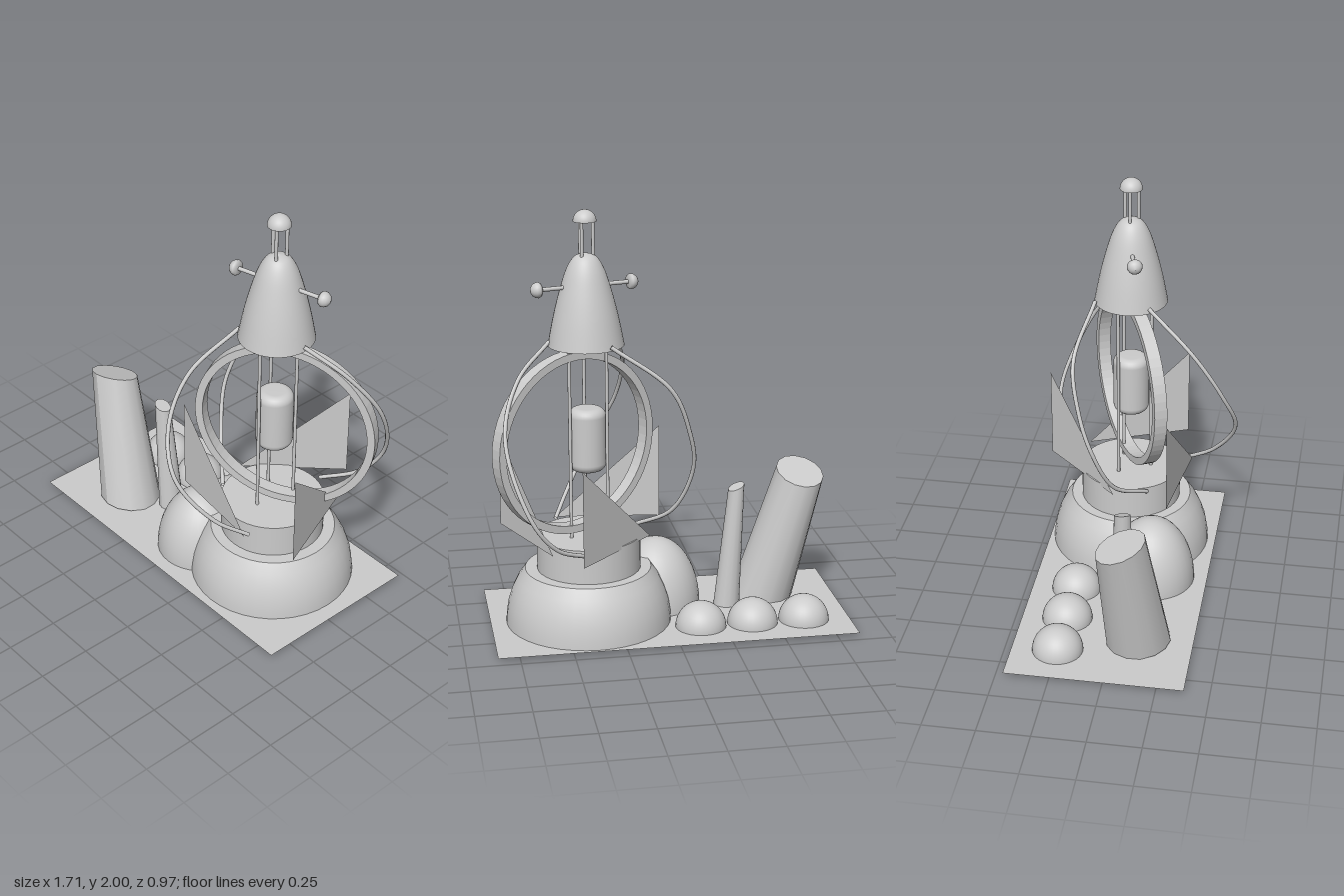
import * as THREE from 'three';

const grey = new THREE.MeshStandardMaterial({ color: 0xcccccc });
const greyDouble = new THREE.MeshStandardMaterial({ color: 0xcccccc, side: THREE.DoubleSide });
const V = (x, y, z) => new THREE.Vector3(x, y, z);
const CX = 0.378, CZ = -0.055, GROUND = 0.018;

export function createModel() {
  const model = new THREE.Group();

  const add = (name, geometry, x = 0, y = 0, z = 0, material = grey, parent = model) => {
    const mesh = new THREE.Mesh(geometry, material);
    mesh.name = name;
    mesh.position.set(x, y, z);
    parent.add(mesh);
    return mesh;
  };
  const lathe = (points, segments = 40) =>
    new THREE.LatheGeometry(points.map(([r, y]) => new THREE.Vector2(r, y)), segments);
  const halfSphere = (r) => new THREE.SphereGeometry(r, 32, 12, 0, Math.PI * 2, 0, Math.PI / 2);
  const rod = (name, r, y0, y1, x, z) =>
    add(name, new THREE.CylinderGeometry(r, r, y1 - y0, 10), x, (y0 + y1) / 2, z);

  // Ground sheet
  const ground = add('ground', new THREE.PlaneGeometry(1.705, 0.845), 0, GROUND, -0.042, greyDouble);
  ground.rotation.x = -Math.PI / 2;

  // Main mound with a flat top, and the drum standing on it
  add('baseMound', lathe([[0.395, GROUND], [0.392, 0.06], [0.382, 0.12], [0.362, 0.18], [0.335, 0.235], [0.3, 0.285]]),
    CX + 0.004, 0, CZ, greyDouble);
  const moundTop = add('moundTop', new THREE.CircleGeometry(0.3, 40), CX + 0.004, 0.285, CZ);
  moundTop.rotation.x = -Math.PI / 2;
  add('drum', new THREE.CylinderGeometry(0.247, 0.247, 0.165, 40), CX, 0.3675, CZ);

  // Side mound and the row of small mounds
  add('sideMound', halfSphere(0.215), 0.03, GROUND, 0.1, greyDouble).scale.y = 0.33 / 0.215;
  for (const x of [-0.632, -0.381, -0.13]) add('smallMound', halfSphere(0.121), x, GROUND, -0.247, greyDouble);

  // Leaning posts with slanted tops: a cylinder whose ends are moved and tilted
  const leaningPost = (name, bottom, top) => {
    const g = new THREE.CylinderGeometry(1, 1, 1, 14, 1);
    const p = g.attributes.position;
    for (let i = 0; i < p.count; i++) {
      const e = p.getY(i) > 0 ? top : bottom;
      const dx = p.getX(i) * e.r, dz = p.getZ(i) * e.r;
      p.setXYZ(i, e.at[0] + dx, e.at[1] + dx * e.slope[0] + dz * e.slope[1], e.at[2] + dz);
    }
    g.computeVertexNormals();
    add(name, g);
  };
  leaningPost('largePost',
    { at: [-0.503, 0.016, 0.118], r: 0.154, slope: [0, 0.1] },
    { at: [-0.677, 0.66, 0.06], r: 0.115, slope: [0.13, 0.38] });
  leaningPost('smallPost',
    { at: [-0.307, 0.018, 0.01], r: 0.063, slope: [0, 0] },
    { at: [-0.352, 0.615, 0.018], r: 0.039, slope: [-0.4, 0.1] });

  // Thin upright rods around the core
  for (let i = 0; i < 3; i++) {
    const a = Math.PI / 2 + i * Math.PI * 2 / 3;
    rod('cageRod', 0.008, 0.44, 1.352, CX + 0.1 * Math.cos(a), CZ + 0.1 * Math.sin(a));
    const b = Math.PI + i * Math.PI * 2 / 3;
    rod('finialRod', 0.008, 1.76, 1.95, CX + 0.037 * Math.cos(b), CZ + 0.037 * Math.sin(b));
  }

  // Rounded core
  const coreProfile = [[0, -0.153]];
  for (const end of [-1, 1])
    for (let i = 0; i <= 6; i++) {
      const a = (end < 0 ? i - 6 : i) * Math.PI / 12;
      coreProfile.push([0.048 + 0.04 * Math.cos(a), end * 0.113 + 0.04 * Math.sin(a)]);
    }
  coreProfile.push([0, 0.153]);
  add('core', lathe(coreProfile, 32), CX, 0.918, CZ);

  // Bell, closed underneath
  const bellCurve = new THREE.SplineCurve([[0.177, 1.372], [0.152, 1.5], [0.122, 1.62], [0.088, 1.725], [0.05, 1.785], [0, 1.802]]
    .map(([r, y]) => new THREE.Vector2(r, y)));
  add('bell', new THREE.LatheGeometry(bellCurve.getPoints(24), 40), CX, 0, CZ);
  const bellFloor = add('bellFloor', new THREE.CircleGeometry(0.177, 40), CX, 1.372, CZ);
  bellFloor.rotation.x = Math.PI / 2;

  // Finial cap
  add('finialCap', halfSphere(0.054), CX, 1.946, CZ);
  const capFloor = add('capFloor', new THREE.CircleGeometry(0.054, 32), CX, 1.946, CZ);
  capFloor.rotation.x = Math.PI / 2;

  // Cross arm with a mushroom knob at each end
  const arm = new THREE.Group();
  arm.name = 'crossArm';
  arm.position.set(CX + 0.004, 1.65, CZ - 0.006);
  arm.rotation.y = 0.25;
  model.add(arm);
  add('armRod', new THREE.CylinderGeometry(0.01, 0.01, 0.46, 10), 0, 0, 0, grey, arm).rotation.z = Math.PI / 2;
  for (const s of [-1, 1]) {
    const knob = add('armKnob', lathe([[0, -0.012], [0.03, -0.012], [0.037, 0], [0.034, 0.014], [0.026, 0.026], [0.014, 0.034], [0, 0.037]], 24),
      s * 0.226, 0, 0, grey, arm);
    knob.rotation.z = -s * Math.PI / 2;
  }

  // Flat upright hoop
  const hoopShape = new THREE.Shape().absarc(0, 0, 0.437, 0, Math.PI * 2);
  hoopShape.holes.push(new THREE.Path().absarc(0, 0, 0.4, 0, Math.PI * 2, true));
  const hoopGeometry = new THREE.ExtrudeGeometry(hoopShape, { depth: 0.064, bevelEnabled: false, curveSegments: 32 });
  hoopGeometry.translate(0, 0, -0.032);
  add('hoop', hoopGeometry, 0.44, 0.91, -0.068).rotation.y = 0.495;

  // Triangular fins: upright outer edge, tapering to a point near the drum
  const fins = [
    [[0, 0.175], [0.5, 0.24]],
    [[0.775, 0.185], [0.575, -0.3]],
    [[0.455, -0.475], [0.09, -0.1]],
  ];
  for (const [[ox, oz], [ix, iz]] of fins) {
    const g = new THREE.BufferGeometry().setFromPoints([V(ox, 0.435, oz), V(ix, 0.435, iz), V(ox, 0.893, oz)]);
    g.computeVertexNormals();
    add('fin', g, 0, 0, 0, greyDouble);
  }

  // Bowed wires from the bell rim down to the drum
  const wires = [
    [V(0.245, 1.395, 0.05), V(0.16, 1.2, 0.28), V(0.18, 0.98, 0.42), V(0.285, 0.77, 0.475), V(0.42, 0.55, 0.36), V(0.505, 0.435, 0.215)],
    [V(0.285, 1.395, -0.215), V(0.02, 1.2, -0.275), V(-0.075, 0.98, -0.235), V(-0.105, 0.785, -0.17), V(-0.02, 0.55, -0.075), V(0.148, 0.435, 0.06)],
    [V(0.55, 1.395, -0.06), V(0.71, 1.25, -0.19), V(0.785, 1.02, -0.34), V(0.69, 0.68, -0.47), V(0.57, 0.515, -0.43), V(0.413, 0.435, -0.333)],
  ];
  for (const points of wires)
    add('bowedWire', new THREE.TubeGeometry(new THREE.CatmullRomCurve3(points), 60, 0.01, 8), 0, 0, 0, greyDouble);

  return model;
}
